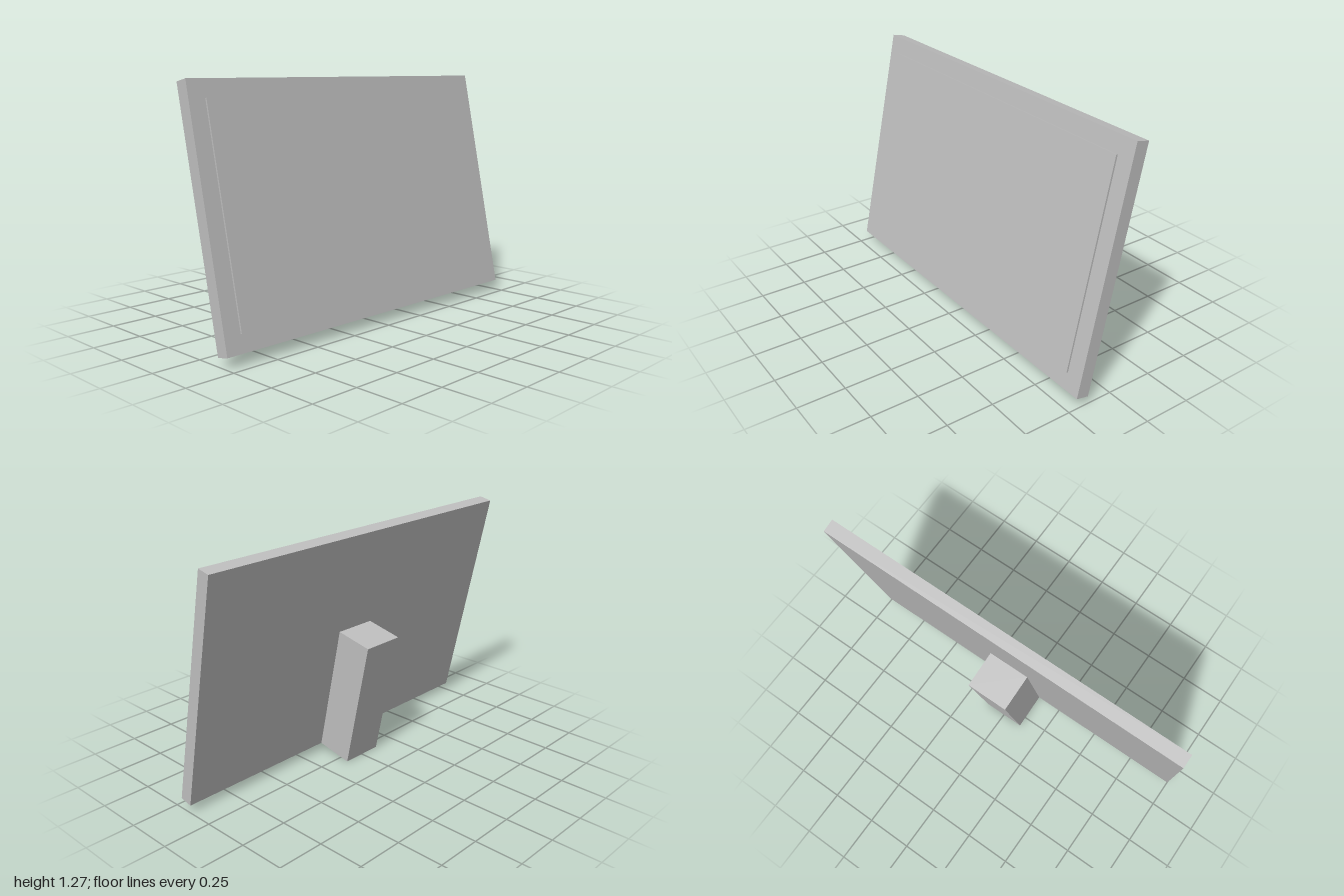
import * as THREE from 'three';

export function createModel() {
  const model = new THREE.Group();
  model.name = 'displayPanel';
  const grey = new THREE.MeshStandardMaterial({ color: 0xc0c0c0 });
  grey.name = 'light grey';

  // Everything leans back 12 degrees about the front bottom edge
  const tilted = new THREE.Group();
  tilted.name = 'tiltedAssembly';
  tilted.position.set(0, 0.056, 0.206);
  tilted.rotation.x = -THREE.MathUtils.degToRad(12);
  model.add(tilted);

  // Box spanning y0..y1 and z0..z1, centred on x
  function slab(name, width, y0, y1, z0, z1) {
    const mesh = new THREE.Mesh(new THREE.BoxGeometry(width, y1 - y0, z1 - z0), grey);
    mesh.name = name;
    mesh.position.set(0, (y0 + y1) / 2, (z0 + z1) / 2);
    tilted.add(mesh);
  }

  slab('frame', 2, 0, 1.236, -0.069, 0);
  slab('screen', 1.82, 0.089, 1.147, 0, 0.009); // slightly raised plate
  slab('rearSupport', 0.23, 0, 0.704, -0.27, -0.069);

  return model;
}
